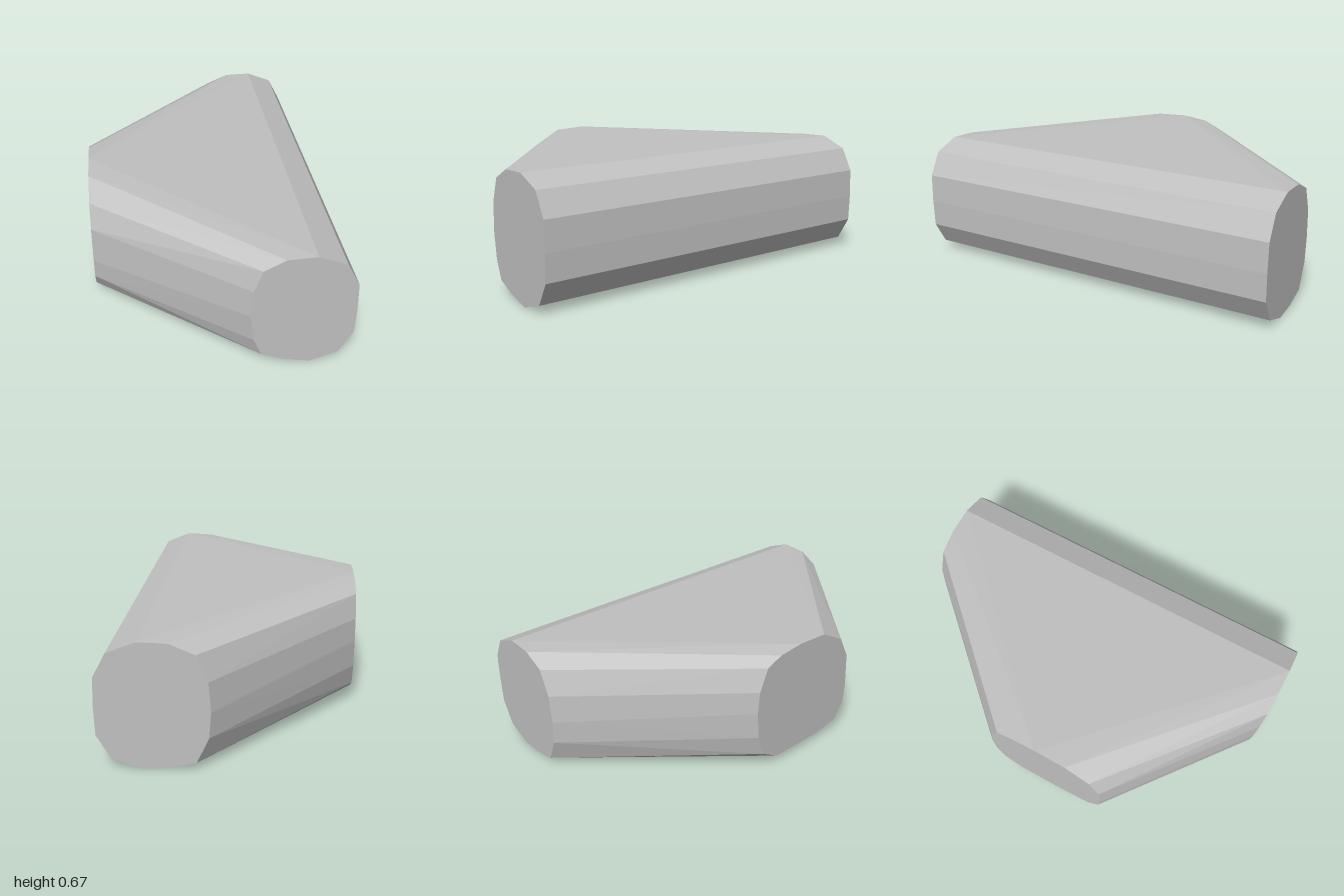
import * as THREE from 'three';
import { ConvexGeometry } from 'three/addons/geometries/ConvexGeometry.js';

// Outer half of the end profile, shared by both long ends: [x, y]
const outerSide = [
  [0.41, 0.636], [0.55, 0.58], [0.614, 0.46], [0.62, 0.31],
  [0.617, 0.17], [0.55, 0.05], [0.41, 0],
];
// Inner half of each end profile: [x, y]
const frontInner = [
  [0.27, 0.03], [0.17, 0.07], [0.13, 0.165], [0.11, 0.315],
  [0.12, 0.46], [0.16, 0.575], [0.265, 0.63],
];
const backInner = [
  [0.28, 0.008], [0.15, 0.04], [0.09, 0.17], [0.08, 0.3],
  [0.09, 0.45], [0.145, 0.58], [0.265, 0.632],
];
// Profile of the side end: [z, y]
const sideProfile = [
  [0.05, 0.665], [0.22, 0.657], [0.36, 0.58], [0.42, 0.46], [0.43, 0.27],
  [0.42, 0.16], [0.36, 0.07], [0.22, 0.043], [-0.09, 0.04], [-0.19, 0.1],
  [-0.23, 0.22], [-0.24, 0.37], [-0.23, 0.49], [-0.18, 0.61], [-0.09, 0.65],
];

export function createModel() {
  const group = new THREE.Group();
  group.name = 'wedgeBlock';
  const grey = new THREE.MeshStandardMaterial({ color: 0xc0c0c0, flatShading: true });
  grey.name = 'light grey';

  // Convex body stretched between the three flat ends
  const points = [
    ...[...outerSide, ...frontInner].map(([x, y]) => new THREE.Vector3(x, y, 1)),
    ...[...outerSide, ...backInner].map(([x, y]) => new THREE.Vector3(x, y, -1)),
    ...sideProfile.map(([z, y]) => new THREE.Vector3(-0.62, y, z)),
  ];
  const body = new THREE.Mesh(new ConvexGeometry(points), grey);
  body.name = 'body';
  group.add(body);
  return group;
}
